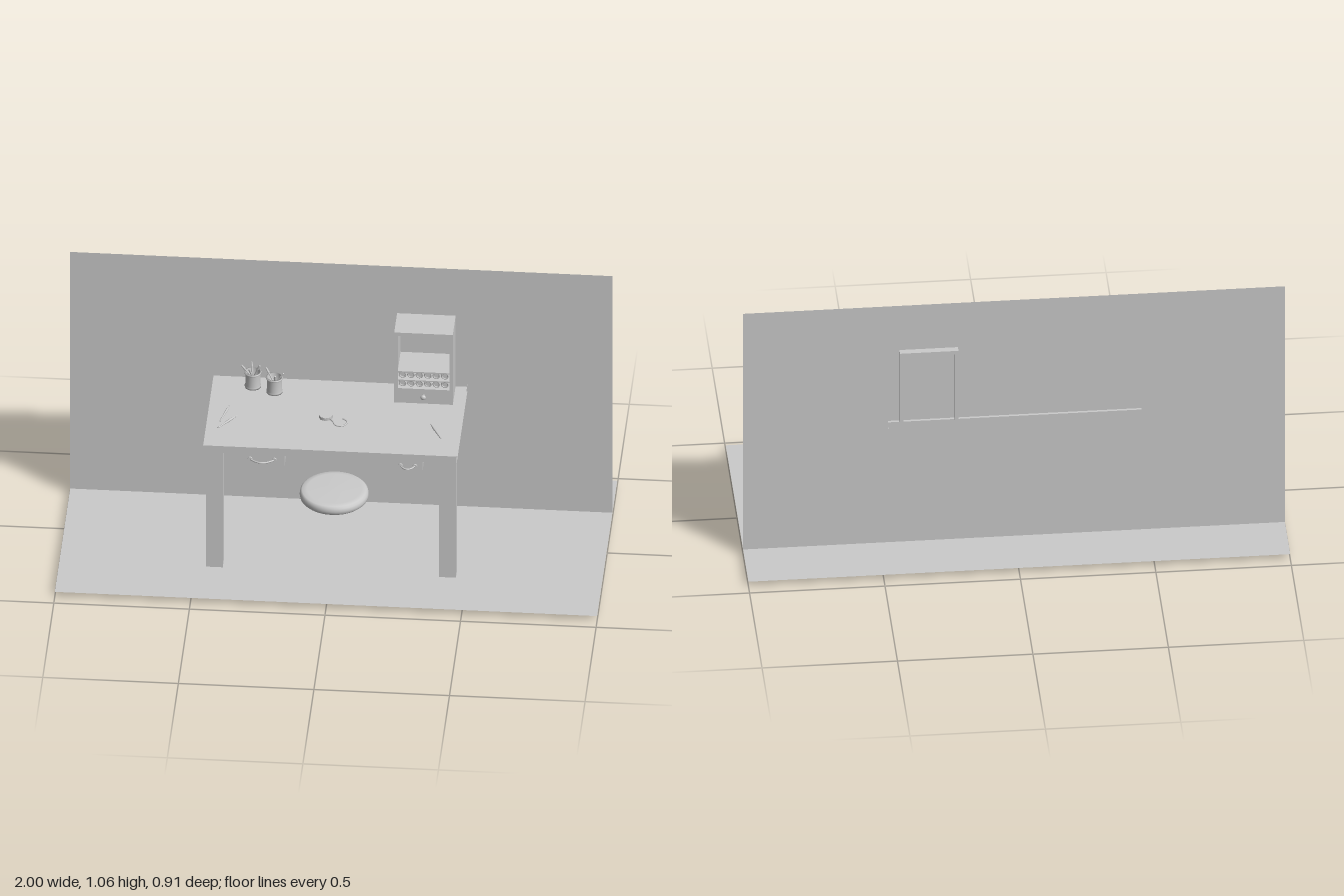
import * as THREE from 'three';

const mat = new THREE.MeshStandardMaterial({ color: 0xcccccc, side: THREE.DoubleSide });
const V = (x, y, z) => new THREE.Vector3(x, y, z);

function add(parent, name, geometry) {
  const mesh = new THREE.Mesh(geometry, mat);
  mesh.name = name;
  parent.add(mesh);
  return mesh;
}

// Box given by its extents on each axis
function box(parent, name, x0, x1, y0, y1, z0, z1) {
  const mesh = add(parent, name, new THREE.BoxGeometry(x1 - x0, y1 - y0, z1 - z0));
  mesh.position.set((x0 + x1) / 2, (y0 + y1) / 2, (z0 + z1) / 2);
  return mesh;
}

// Tapered rod between two points
function rod(parent, name, a, b, r0, r1 = r0) {
  const mesh = add(parent, name, new THREE.CylinderGeometry(r1, r0, a.distanceTo(b), 8));
  mesh.position.copy(a).add(b).multiplyScalar(0.5);
  mesh.quaternion.setFromUnitVectors(V(0, 1, 0), b.clone().sub(a).normalize());
  return mesh;
}

function lathe(parent, name, points, segments = 32) {
  return add(parent, name, new THREE.LatheGeometry(points.map(p => new THREE.Vector2(...p)), segments));
}

function group(parent, name) {
  const g = new THREE.Group();
  g.name = name;
  parent.add(g);
  return g;
}

export function createModel() {
  const model = new THREE.Group();
  model.name = 'dressingTable';

  // Room planes
  const floor = add(model, 'floor', new THREE.PlaneGeometry(2, 0.91));
  floor.rotation.x = -Math.PI / 2;
  floor.position.y = 0.02;
  const wall = add(model, 'wall', new THREE.PlaneGeometry(2, 1.04));
  wall.position.set(0, 0.54, -0.24);
  const mirror = add(model, 'mirror', new THREE.PlaneGeometry(0.935, 0.485));
  mirror.position.set(-0.0025, 0.7975, -0.225);

  // Table top, open at both ends
  const top = box(model, 'tableTop', -0.47, 0.465, 0.525, 0.555, -0.25, 0.245);
  top.geometry.setIndex(Array.from(top.geometry.index.array).slice(12));
  top.geometry.clearGroups();

  // Front legs
  box(model, 'rightLeg', -0.46, -0.398, 0, 0.545, 0.182, 0.241);
  box(model, 'leftLeg', 0.4, 0.462, 0, 0.545, 0.182, 0.241);

  // Hanging drawers with bow handles
  for (const [x0, x1, w] of [[-0.335, -0.17, 0.045], [0.23, 0.338, 0.027]]) {
    const drawer = group(model, 'drawer');
    const cx = (x0 + x1) / 2;
    box(drawer, 'drawerBox', x0, x1, 0.475, 0.523, 0.03, 0.24);
    const bow = new THREE.QuadraticBezierCurve3(V(cx - w, 0.503, 0.242), V(cx, 0.503, 0.29), V(cx + w, 0.503, 0.242));
    add(drawer, 'handle', new THREE.TubeGeometry(bow, 16, 0.003, 8));
    for (const s of [-1, 1]) {
      rod(drawer, 'handlePlate', V(cx + s * w, 0.503, 0.239), V(cx + s * w, 0.503, 0.246), 0.009);
    }
  }

  // Round cushioned seat
  const seat = lathe(model, 'seat', [[0, 0], [0.119, 0], [0.125, 0.006], [0.127, 0.017],
    [0.125, 0.029], [0.118, 0.036], [0.1, 0.0385], [0, 0.04]], 48);
  seat.position.set(0.0125, 0.346, 0.235);

  // Open-backed cabinet
  const cabinet = group(model, 'cabinet');
  const back = -0.265, front = -0.095, rear = -0.235;
  box(cabinet, 'rightSide', 0.207, 0.22, 0.557, 0.865, back, front);
  box(cabinet, 'leftSide', 0.41, 0.423, 0.557, 0.865, back, front);
  box(cabinet, 'roof', 0.22, 0.41, 0.85, 0.865, back, front);
  box(cabinet, 'upperShelf', 0.22, 0.41, 0.69, 0.696, rear, front);
  box(cabinet, 'lowerShelf', 0.22, 0.41, 0.654, 0.659, rear, front);
  box(cabinet, 'cabinetDrawer', 0.22, 0.41, 0.557, 0.62, rear, front - 0.002);
  rod(cabinet, 'knobStem', V(0.315, 0.594, -0.097), V(0.315, 0.594, -0.083), 0.004);
  const knob = add(cabinet, 'knob', new THREE.SphereGeometry(0.01, 16, 12));
  knob.scale.z = 0.7;
  knob.position.set(0.315, 0.594, -0.08);

  // Two rows of small jars on the shelves
  for (const y of [0.637, 0.6745]) {
    for (let i = 0; i < 6; i++) {
      const x = 0.237 + i * 0.0312;
      rod(cabinet, 'jar', V(x, y, -0.17), V(x, y, -0.108), 0.0145);
      const ring = add(cabinet, 'jarRim', new THREE.TorusGeometry(0.0115, 0.003, 6, 16));
      ring.position.set(x, y, -0.108);
    }
  }

  // Cups holding brushes
  const cups = [
    [-0.32, -0.165, [[-0.042, 0.098, 0.01], [-0.006, 0.094, -0.02], [0.026, 0.1, 0.014], [-0.012, 0.09, 0.024]]],
    [-0.238, -0.135, [[-0.032, 0.097, -0.012], [0.004, 0.08, 0.02], [0.034, 0.085, 0.006]]],
  ];
  for (const [x, z, brushes] of cups) {
    const cup = group(model, 'brushCup');
    cup.position.set(x, 0.555, z);
    lathe(cup, 'cup', [[0, 0], [0.03, 0], [0.03, 0.007], [0.028, 0.01], [0.028, 0.056],
      [0.031, 0.059], [0.031, 0.065], [0.026, 0.065], [0.026, 0.008], [0, 0.008]]);
    for (const [bx, by, bz] of brushes) {
      const foot = V(-bx * 0.4, 0.01, -bz * 0.4), tip = V(bx, by, bz);
      rod(cup, 'brushHandle', foot, tip, 0.0025);
      rod(cup, 'brushHead', foot.clone().lerp(tip, 0.8), tip, 0.0045, 0.003);
    }
  }

  // Loose brushes on the table
  for (const [x0, z0, x1, z1] of [[-0.425, 0.13, -0.36, 0.04], [-0.42, 0.085, -0.394, -0.025], [0.398, 0.135, 0.352, 0.04]]) {
    const brush = group(model, 'looseBrush');
    const a = V(x0, 0.56, z0), b = V(x1, 0.56, z1);
    rod(brush, 'handle', a, a.clone().lerp(b, 0.5), 0.0025, 0.004);
    rod(brush, 'ferrule', a.clone().lerp(b, 0.5), a.clone().lerp(b, 0.72), 0.0045);
    rod(brush, 'bristles', a.clone().lerp(b, 0.72), b, 0.004, 0.0012);
  }

  // Small round pendant with a curled chain
  const pendant = group(model, 'pendant');
  const disc = add(pendant, 'pendantDisc', new THREE.CylinderGeometry(0.026, 0.026, 0.012, 8));
  disc.position.set(-0.032, 0.592, 0.068);
  const chain = new THREE.CatmullRomCurve3([V(-0.014, 0.592, 0.086), V(-0.002, 0.592, 0.105), V(0.006, 0.592, 0.124),
    V(0.024, 0.592, 0.132), V(0.044, 0.592, 0.122), V(0.048, 0.592, 0.098), V(0.032, 0.592, 0.08)]);
  add(pendant, 'chain', new THREE.TubeGeometry(chain, 32, 0.003, 6));

  return model;
}
